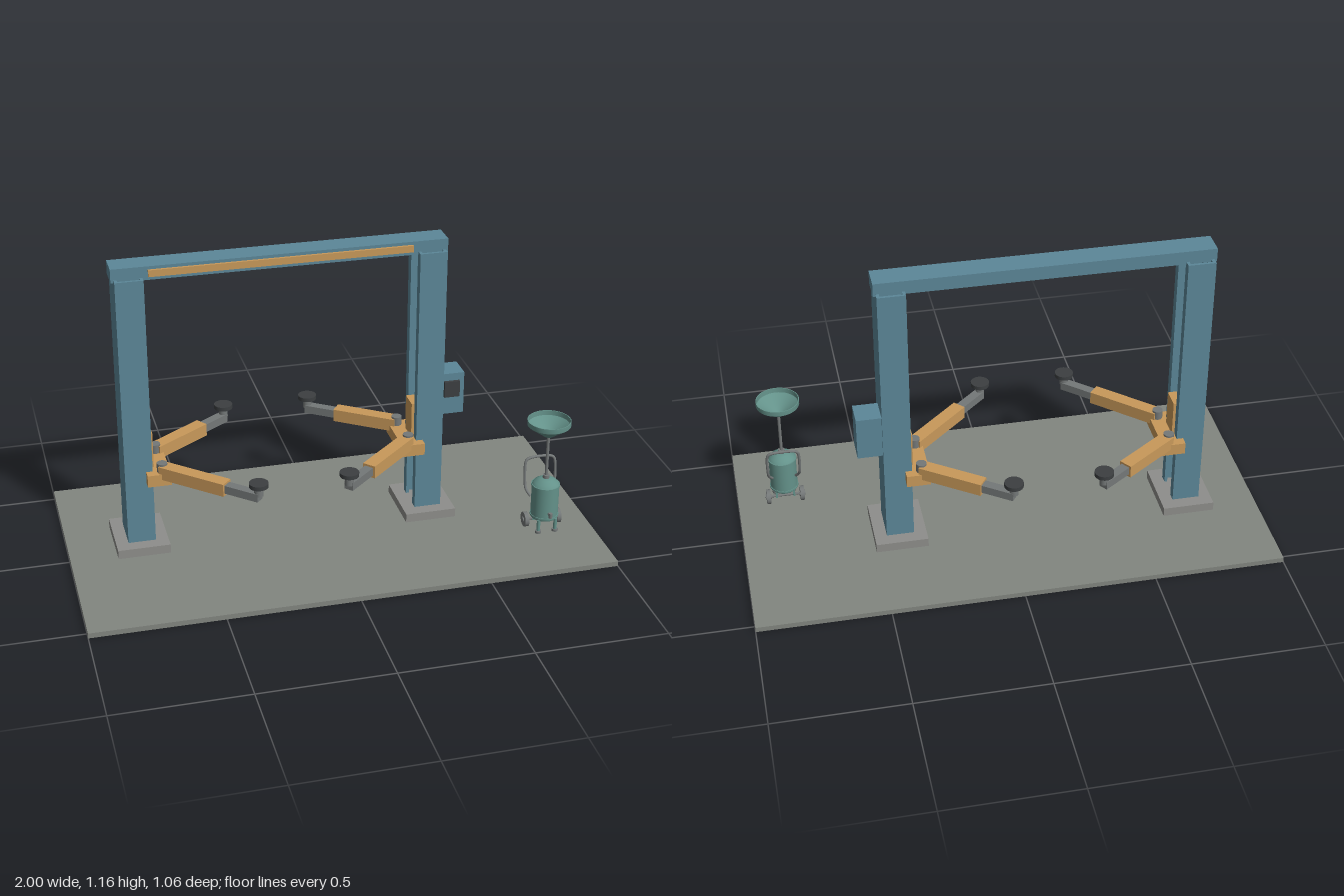
import * as THREE from 'three';

const mat = (name, color, side = THREE.FrontSide) => {
  const m = new THREE.MeshStandardMaterial({ color, side });
  m.name = name;
  return m;
};

export function createModel() {
  const blue = mat('blue paint', 0x5c8798);
  const orange = mat('ochre paint', 0xc8995a);
  const floorGrey = mat('floor grey', 0x828680);
  const concrete = mat('base plate grey', 0x8e8e8b);
  const steel = mat('steel grey', 0x747878);
  const rubber = mat('black rubber', 0x3c3f41);
  const teal = mat('teal paint', 0x64928a, THREE.DoubleSide);

  const root = new THREE.Group();
  root.name = 'twoPostLift';
  const add = (parent, name, geo, material, x = 0, y = 0, z = 0) => {
    const m = new THREE.Mesh(geo, material);
    m.name = name;
    m.position.set(x, y, z);
    parent.add(m);
    return m;
  };
  // box given by its limits on each axis
  const box = (parent, name, material, x0, x1, y0, y1, z0, z1) =>
    add(parent, name, new THREE.BoxGeometry(Math.abs(x1 - x0), y1 - y0, z1 - z0), material,
      (x0 + x1) / 2, (y0 + y1) / 2, (z0 + z1) / 2);
  const cyl = (r, h, n = 24, rb = r) => new THREE.CylinderGeometry(r, rb, h, n);
  const group = (name, parent = root) => {
    const g = new THREE.Group();
    g.name = name;
    parent.add(g);
    return g;
  };

  box(root, 'floorSlab', floorGrey, -1, 1, 0, 0.02, -0.53, 0.53);

  // Two mirrored columns, each with a carriage and two swing arms
  const CX = -0.157, CZ = -0.07;
  for (const s of [1, -1]) {
    const X = (d) => CX + s * d; // d = distance outwards from the lift's centre
    const side = group(s > 0 ? 'leftColumn' : 'rightColumn');
    box(side, 'basePlate', concrete, X(0.465), X(0.665), 0.02, 0.055, CZ - 0.125, CZ + 0.125);

    // C-channel, open inwards
    const ch = new THREE.Shape();
    [[0.618, -0.075], [0.618, 0.075], [0.513, 0.075], [0.513, 0.042], [0.524, 0.042], [0.524, 0.064],
      [0.606, 0.064], [0.606, -0.064], [0.524, -0.064], [0.524, -0.042], [0.513, -0.042], [0.513, -0.075]]
      .forEach(([d, z], i) => (i ? ch.lineTo(s * d, -z) : ch.moveTo(s * d, -z)));
    const post = add(side, 'post', new THREE.ExtrudeGeometry(ch, { depth: 1.065, bevelEnabled: false }),
      blue, CX, 0.055, CZ);
    post.rotation.x = -Math.PI / 2;

    // carriage
    box(side, 'carriageBack', orange, X(0.503), X(0.58), 0.3, 0.49, CZ - 0.04, CZ + 0.04);
    box(side, 'carriageCrossbar', orange, X(0.448), X(0.538), 0.303, 0.35, CZ - 0.11, CZ + 0.11);

    // swing arms: front pair longer than the back pair
    for (const [name, pz, tz] of [['frontArm', CZ + 0.08, 0.295], ['backArm', CZ - 0.08, -0.367]]) {
      const arm = group(name, side);
      const dx = X(0.17) - X(0.478), dz = tz - pz, len = Math.hypot(dx, dz);
      arm.position.set(X(0.478), 0, pz);
      arm.rotation.y = -Math.atan2(dz, dx);
      box(arm, 'armSleeve', orange, 0, len * 0.675, 0.328, 0.378, -0.026, 0.026);
      box(arm, 'armExtension', steel, len * 0.4, len + 0.004, 0.338, 0.37, -0.018, 0.018);
      add(arm, 'pivotPin', cyl(0.02, 0.08), steel, 0, 0.345, 0);
      add(arm, 'padStem', cyl(0.017, 0.04), steel, len, 0.378, 0);
      add(arm, 'liftPad', cyl(0.036, 0.016, 32), rubber, len, 0.403, 0);
    }
  }

  // Overhead beam with safety bar
  box(root, 'topBeam', blue, -0.785, 0.47, 1.11, 1.162, -0.117, -0.022);
  box(root, 'safetyBar', orange, -0.65, 0.335, 1.124, 1.15, -0.03, -0.012);

  // Control cabinet
  box(root, 'controlBox', blue, 0.46, 0.556, 0.43, 0.6, -0.136, -0.036);
  box(root, 'controlPanel', rubber, 0.475, 0.536, 0.505, 0.57, -0.04, -0.024);

  // Mobile oil drainer
  const drainer = group('oilDrainer');
  drainer.position.set(0.815, 0, 0.218);
  const lathe = (name, pts, material) => {
    const geo = new THREE.LatheGeometry(pts.map(([r, y]) => new THREE.Vector2(r, y)), 40);
    return add(drainer, name, geo, material);
  };
  lathe('tankBody', [[0, 0.072], [0.05, 0.072], [0.05, 0.072], [0.053, 0.08], [0.053, 0.08],
    [0.053, 0.212], [0.053, 0.212], [0.045, 0.224], [0.028, 0.235], [0.014, 0.239], [0, 0.239]], teal);
  for (const y of [0.083, 0.21])
    add(drainer, 'tankBand', cyl(0.0555, 0.007, 40), teal, 0, y, 0);
  add(drainer, 'collar', cyl(0.013, 0.015), steel, 0, 0.245, 0);
  add(drainer, 'stem', cyl(0.006, 0.18, 16), steel, 0, 0.335, 0);
  lathe('funnel', [[0.008, 0.415], [0.016, 0.418], [0.016, 0.418], [0.081, 0.466], [0.081, 0.466], [0.083, 0.468],
    [0.083, 0.487], [0.083, 0.487], [0.08, 0.487], [0.08, 0.487], [0.079, 0.468], [0.079, 0.468],
    [0.014, 0.422], [0, 0.42]], teal);

  // drain valve on the front
  const valve = add(drainer, 'drainValve', cyl(0.006, 0.025, 12), steel, 0, 0.108, 0.06);
  valve.rotation.x = Math.PI / 2;
  add(drainer, 'valveKnob', cyl(0.007, 0.02, 12), steel, 0, 0.108, 0.069);

  // undercarriage
  const axle = add(drainer, 'axle', cyl(0.005, 0.14, 12), steel, 0, 0.05, -0.027);
  axle.rotation.z = Math.PI / 2;
  for (const s of [1, -1]) {
    const wheel = add(drainer, 'wheel', cyl(0.029, 0.016, 28), steel, s * 0.066, 0.05, -0.027);
    wheel.rotation.z = Math.PI / 2;
    const hub = add(drainer, 'wheelHub', cyl(0.01, 0.024, 16), steel, s * 0.066, 0.05, -0.027);
    hub.rotation.z = Math.PI / 2;
    box(drainer, 'axleBracket', teal, s * 0.03, s * 0.038, 0.045, 0.078, -0.036, -0.018);
    add(drainer, 'frontLeg', cyl(0.007, 0.05, 12), teal, s * 0.034, 0.05, 0.036);
    add(drainer, 'frontFoot', cyl(0.012, 0.01, 16), steel, s * 0.034, 0.025, 0.036);
  }

  // push handle: a leaning hoop fixed to the tank's back
  const half = [[0.046, 0.145, -0.035], [0.058, 0.165, -0.05], [0.061, 0.185, -0.06],
    [0.061, 0.265, -0.069], [0.056, 0.283, -0.072], [0.042, 0.291, -0.074]];
  const path = [...half, ...half.slice().reverse().map(([x, y, z]) => [-x, y, z])];
  const curve = new THREE.CatmullRomCurve3(path.map((p) => new THREE.Vector3(...p)), false, 'centripetal');
  add(drainer, 'pushHandle', new THREE.TubeGeometry(curve, 64, 0.0055, 10), steel);

  return root;
}
